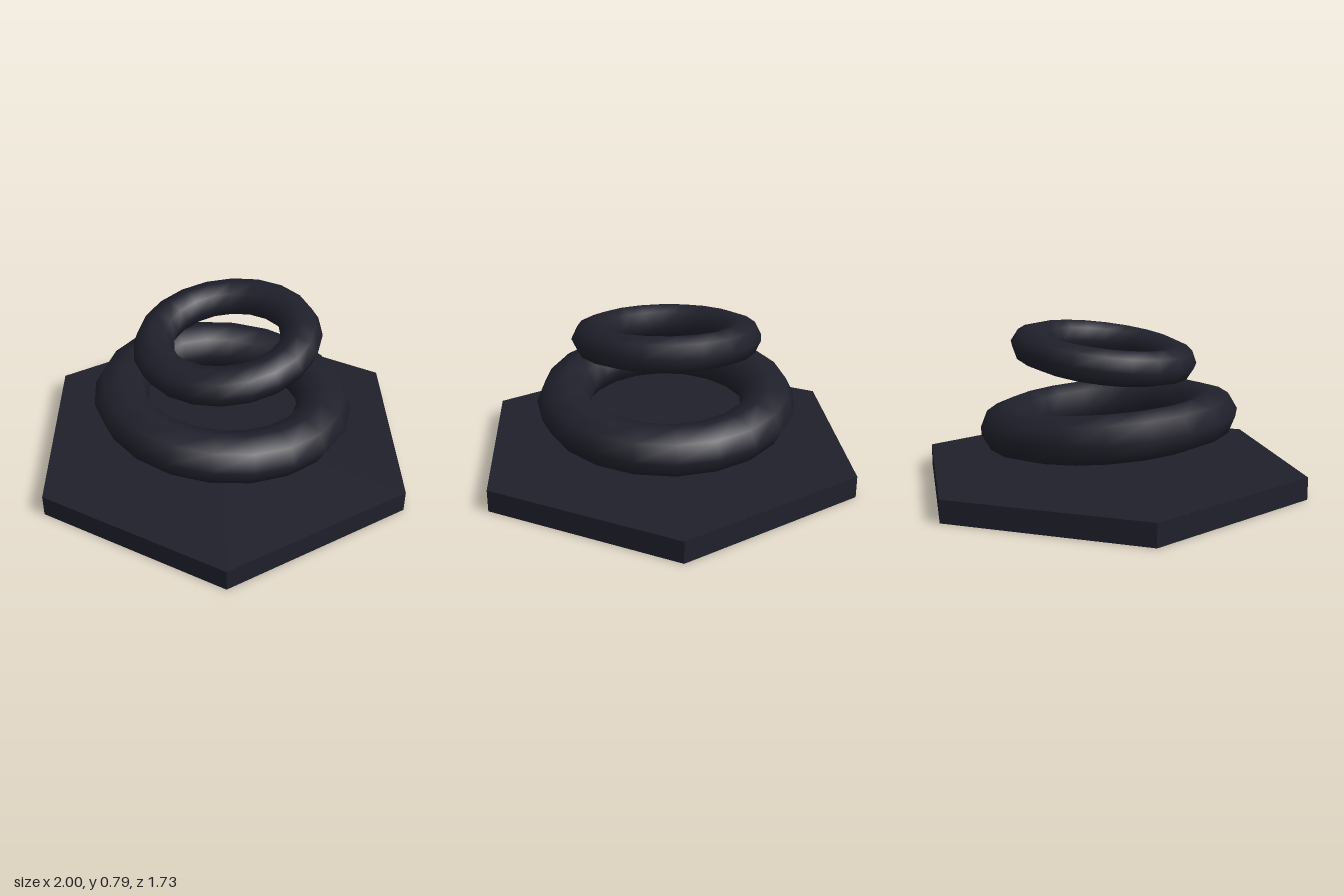
import * as THREE from 'three';

const dark = { color: 0x20202c };

// Flattened ring lying in the xz plane, tilted about z
function ring(name, radius, tube, x, y, tilt) {
  const geo = new THREE.TorusGeometry(radius, tube, 8, 20);
  geo.rotateX(-Math.PI / 2);
  geo.scale(1, 0.85, 1);
  const mesh = new THREE.Mesh(geo, new THREE.MeshStandardMaterial(dark));
  mesh.name = name;
  mesh.position.set(x, y, 0);
  mesh.rotation.z = tilt;
  return mesh;
}

export function createModel() {
  const group = new THREE.Group();
  group.name = 'floatingRings';

  // Hexagonal plate with corners on the x axis
  const plateGeo = new THREE.CylinderGeometry(1, 1, 0.11, 6);
  plateGeo.rotateY(Math.PI / 6);
  const plate = new THREE.Mesh(plateGeo, new THREE.MeshStandardMaterial({ ...dark, flatShading: true }));
  plate.name = 'basePlate';
  plate.position.y = 0.055;
  group.add(plate);

  // Two rings hovering above, tilted opposite ways
  group.add(ring('lowerRing', 0.508, 0.136, 0, 0.33, -0.082));
  group.add(ring('upperRing', 0.362, 0.101, 0.025, 0.663, 0.128));

  return group;
}
